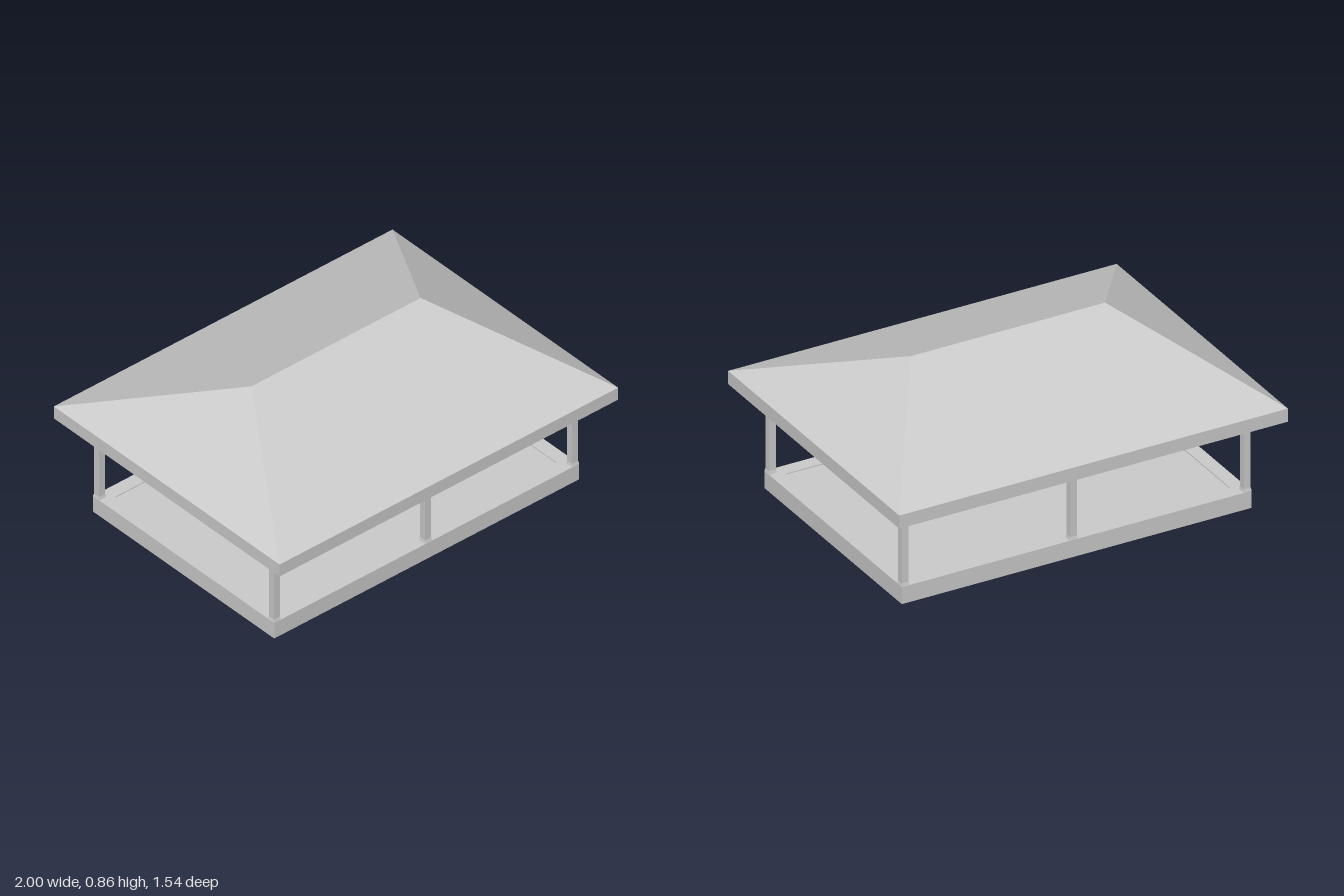
import * as THREE from 'three';

const material = new THREE.MeshStandardMaterial({ color: 0xcccccc });

function addMesh(parent, name, geometry) {
  const mesh = new THREE.Mesh(geometry, material);
  mesh.name = name;
  parent.add(mesh);
  return mesh;
}

// Box spanning y0..y1, centred on x and z
function addBox(parent, name, x, z, width, depth, y0, y1) {
  const mesh = addMesh(parent, name, new THREE.BoxGeometry(width, y1 - y0, depth));
  mesh.position.set(x, (y0 + y1) / 2, z);
  return mesh;
}

// Rectangular ring lying flat, spanning y0..y1
function addFrame(parent, name, hx, hz, thickness, y0, y1) {
  const rect = (Type, a, b) =>
    new Type([[-a, -b], [a, -b], [a, b], [-a, b]].map(([x, y]) => new THREE.Vector2(x, y)));
  const shape = rect(THREE.Shape, hx, hz);
  shape.holes.push(rect(THREE.Path, hx - thickness, hz - thickness));
  const geometry = new THREE.ExtrudeGeometry(shape, { depth: y1 - y0, bevelEnabled: false });
  geometry.rotateX(-Math.PI / 2).translate(0, y0, 0);
  addMesh(parent, name, geometry);
}

// Hip roof: a box whose upper corners are drawn in to the ridge
function hipGeometry(hx, hz, ridge, y0, y1) {
  const geometry = new THREE.BoxGeometry(2, 1, 2).toNonIndexed();
  const p = geometry.attributes.position;
  for (let i = 0; i < p.count; i++) {
    const top = p.getY(i) > 0;
    p.setXYZ(i, p.getX(i) * (top ? ridge : hx), top ? y1 : y0, top ? 0 : p.getZ(i) * hz);
  }
  geometry.computeVertexNormals();
  return geometry;
}

export function createModel() {
  const model = new THREE.Group();
  model.name = 'pavilion';

  // Floor slab with a slightly raised edge
  const base = new THREE.Group();
  base.name = 'base';
  addBox(base, 'floorSlab', 0, 0, 1.8, 1.24, 0, 0.082);
  addFrame(base, 'floorEdge', 0.9, 0.62, 0.07, 0.082, 0.087);
  model.add(base);

  // Posts on small flared feet, with a cross beam over each pair
  const frame = new THREE.Group();
  frame.name = 'frame';
  for (const x of [-0.88, 0.013, 0.88]) {
    for (const z of [-0.598, 0.598]) {
      addBox(frame, 'post', x, z, 0.035, 0.035, 0.08, 0.55);
      const foot = addMesh(frame, 'postFoot',
        new THREE.CylinderGeometry(0.025, 0.03, 0.016, 4).toNonIndexed());
      foot.geometry.rotateY(Math.PI / 4).computeVertexNormals();
      foot.position.set(x, 0.095, z);
    }
    addBox(frame, 'crossBeam', x, 0, 0.035, 1.3, 0.481, 0.52);
  }
  // Long beams resting on the cross beams
  for (const z of [-0.3, 0.3]) addBox(frame, 'longBeam', 0, z, 1.8, 0.035, 0.515, 0.55);
  model.add(frame);

  // Roof with an eaves board around its edge
  const roof = new THREE.Group();
  roof.name = 'roof';
  addFrame(roof, 'eavesBoard', 1, 0.772, 0.012, 0.485, 0.552);
  addMesh(roof, 'hipRoof', hipGeometry(1, 0.772, 0.5, 0.552, 0.86));
  model.add(roof);

  return model;
}
